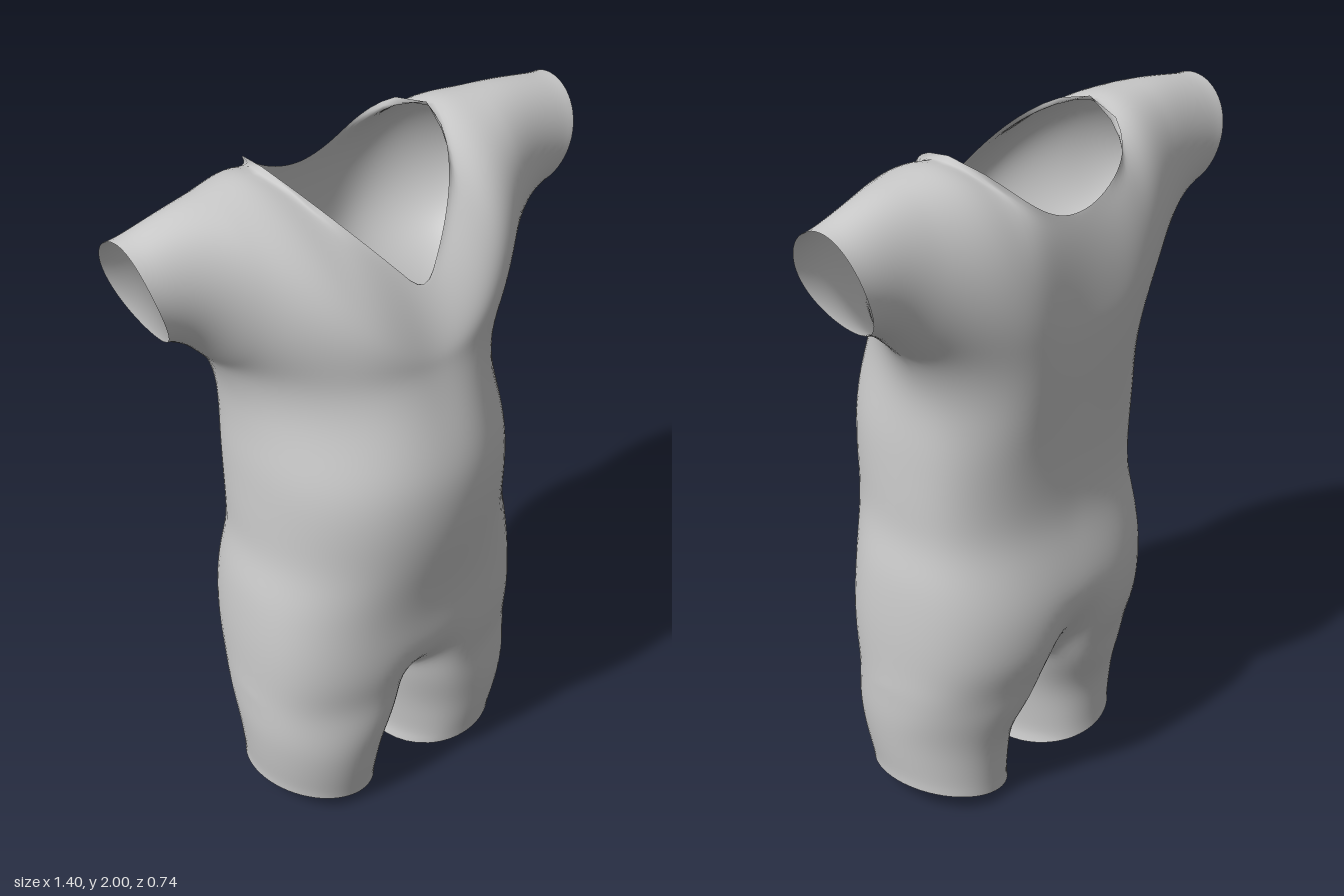
import * as THREE from 'three';
import { mergeGeometries, mergeVertices } from 'three/addons/utils/BufferGeometryUtils.js';

const { lerp, smoothstep, clamp } = THREE.MathUtils;
const ARMPIT = 0.44, NECK = 0.265, CHEST_Y = 1.5, CROTCH_Y = 0.42, ZC = -0.12;

// Smooth interpolation of column k in a table whose rows start with the key
function sample(table, key, k = 1) {
  const last = table.length - 1;
  let i = 0;
  while (i < last - 1 && key > table[i + 1][0]) i++;
  const slope = (j) => {
    const a = table[Math.max(j - 1, 0)], b = table[Math.min(j + 1, last)];
    return (b[k] - a[k]) / (b[0] - a[0]);
  };
  const p = table[i], q = table[i + 1], d = q[0] - p[0];
  const t = clamp((key - p[0]) / d, 0, 1), t2 = t * t, t3 = t2 * t;
  return (2 * t3 - 3 * t2 + 1) * p[k] + (t3 - 2 * t2 + t) * d * slope(i)
    + (3 * t2 - 2 * t3) * q[k] + (t3 - t2) * d * slope(i + 1);
}

// Height, half width, front z, back z
const TORSO = [
  [0.42, 0.437, 0.262, -0.3], [0.5, 0.438, 0.283, -0.342], [0.6, 0.438, 0.29, -0.358],
  [0.7, 0.433, 0.295, -0.358], [0.8, 0.423, 0.312, -0.335], [0.9, 0.402, 0.337, -0.307],
  [1.0, 0.402, 0.358, -0.302], [1.1, 0.4, 0.37, -0.308], [1.2, 0.398, 0.37, -0.317],
  [1.3, 0.393, 0.347, -0.327], [1.4, 0.402, 0.315, -0.338], [1.5, 0.44, 0.287, -0.347],
];
// Distance out along the shoulder, front z, back z
const SHOULDER = [
  [0, 0.287, -0.357], [0.1, 0.285, -0.362], [0.2, 0.262, -0.37], [0.3, 0.205, -0.347],
  [0.4, 0.115, -0.302], [0.5, 0.052, -0.267], [0.6, 0.018, -0.25], [0.7, 0.005, -0.245],
];
const TOP = [[0, 2], [0.27, 2], [0.4, 1.992], [0.5, 1.985], [0.6, 1.965], [0.7, 1.94]];
const UNDERARM = [[0.44, 1.5], [0.5, 1.537], [0.6, 1.595], [0.7, 1.635]];

const dome = (s, n) => Math.pow(Math.max(0, 1 - Math.pow(Math.abs(s), n)), 1 / n);

// Chest, shoulder and sleeve: an arc from chest line or underarm (t = 0) to shoulder or neckline (t = 1)
function upperPoint(u, t, front) {
  const top = sample(TOP, u);
  const s = Math.min(1, u / ARMPIT);
  const start = Math.pow(s, 1.5);
  const base = u > ARMPIT ? sample(UNDERARM, u) : CHEST_Y;
  const h = (top - base) / (1 + start), yc = top - h;
  let end = top;
  if (u < NECK) {
    const k = u / NECK;
    end = front ? 1.685 + 0.315 * k : 1.825 + 0.175 * k * k;
  }
  const a0 = -Math.asin(start), a1 = Math.asin(clamp((end - yc) / h, -1, 1));
  const v = Math.sin(lerp(a0, a1, t));
  const n = v < 0 ? 2 : front ? lerp(1.4, 2, s * s) : lerp(2.6, 2, s);
  const edge = sample(SHOULDER, u, front ? 1 : 2);
  const y = yc + h * v;
  // The sleeve opening slants inward toward the underarm
  const slant = Math.pow(clamp((u - ARMPIT) / (0.7 - ARMPIT), 0, 1), 1.5);
  const x = u - 0.1 * slant * Math.pow(Math.max(0, top - y) / 0.31, 1.6);
  return [x, y, ZC + (edge - ZC) * dome(v, n)];
}

// Plain rounded cross-section of the trunk
function trunkPoint(u, y, front) {
  const s = u / ARMPIT;
  const side = lerp(-0.01, -0.08, smoothstep(y, 0.5, 1.4));
  const n = front ? lerp(2.5, 2.05, smoothstep(y, 0.6, 1)) : 2.5;
  return [sample(TORSO, y) * s, y, side + (sample(TORSO, y, front ? 2 : 3) - side) * dome(s, n)];
}

// Waist and hips, flowing into the chest line
function torsoPoint(u, y, front) {
  const p = trunkPoint(u, y, front), q = trunkPoint(u, CHEST_Y, front), r = upperPoint(u, 0, front);
  // Groove at the groin and between the buttocks
  const groove = front ? 0.1 * (1 - smoothstep(y, 0.4, 0.56)) : 0.12 * (1 - smoothstep(y, 0.42, 0.68));
  const dz = (front ? -groove : groove) * Math.exp(-((p[0] / 0.065) ** 2));
  const w = smoothstep(y, 1.1, CHEST_Y);
  return [p[0] + w * (r[0] - q[0]), y, p[2] + dz + w * (r[2] - q[2])];
}

// Columns from the centre line to the armpit, then out along the sleeve
const bodyCols = [], sleeveCols = [];
for (let i = 0; i <= 14; i++) bodyCols.push((NECK * i) / 14);
for (let i = 1; i <= 12; i++) bodyCols.push(lerp(NECK, ARMPIT, Math.sin((i / 12) * Math.PI / 2)));
for (let i = 1; i <= 14; i++) sleeveCols.push(lerp(ARMPIT, 0.7, i / 14));
const allCols = [...bodyCols, ...sleeveCols];

// Leg stations: front columns, back columns, then the inner seam
const SEAM = 10;
const legStations = [
  ...bodyCols.map((u) => ({ u, front: true })),
  ...bodyCols.slice(0, -1).reverse().map((u) => ({ u, front: false })),
];
for (let i = 1; i <= SEAM; i++) legStations.push({ seam: i / SEAM });

function legPoint(st, t) {
  const down = 1 - t, open = Math.PI * 0.28;
  let from, xn, zn;
  if (st.seam === undefined) {
    from = torsoPoint(st.u, CROTCH_Y, st.front);
    xn = lerp(-Math.cos(open), 1, st.u / ARMPIT);
    zn = (st.front ? 1 : -1) * Math.sqrt(Math.max(0, 1 - xn * xn));
  } else {
    const f = torsoPoint(0, CROTCH_Y, true), b = torsoPoint(0, CROTCH_Y, false);
    from = [0, CROTCH_Y - 0.02 * Math.sin(st.seam * Math.PI), lerp(b[2], f[2], st.seam)];
    const a = lerp(-open, open, st.seam);
    xn = -Math.cos(a);
    zn = Math.sin(a);
  }
  const inner = 0.04 * Math.pow(down, 1.5), outer = lerp(0.437, 0.4, down * down);
  const zf = lerp(0.25, 0.195, down * down), zb = lerp(-0.25, -0.212, Math.sqrt(down));
  const w = smoothstep(down, 0, 0.6);
  const x = lerp(from[0], (inner + outer) / 2 + xn * (outer - inner) / 2, w);
  const z = lerp(from[2], (zf + zb) / 2 + zn * (zf - zb) / 2, w);
  const hem = 0.003 + 0.075 * (xn + 1) / 2;
  return [x, lerp(from[1], hem, down), z];
}

// Surface through a grid of points
function grid(nu, nv, point, flip) {
  const pos = [], idx = [];
  for (let j = 0; j <= nv; j++) for (let i = 0; i <= nu; i++) pos.push(...point(i, j / nv));
  for (let j = 0; j < nv; j++) for (let i = 0; i < nu; i++) {
    const a = j * (nu + 1) + i, b = a + 1, c = b + nu + 1, d = a + nu + 1;
    idx.push(...(flip ? [a, c, b, a, d, c] : [a, b, c, a, c, d]));
  }
  const g = new THREE.BufferGeometry();
  g.setAttribute('position', new THREE.Float32BufferAttribute(pos, 3));
  g.setIndex(idx);
  return g;
}

function mirrored(g) {
  const m = g.clone().scale(-1, 1, 1), ix = m.index.array;
  for (let i = 0; i < ix.length; i += 3) [ix[i], ix[i + 1]] = [ix[i + 1], ix[i]];
  return m;
}

// Relax the cloth toward its neighbours, keeping the hems fixed
function relax(g, rounds) {
  const p = g.attributes.position.array, ix = g.index.array, n = p.length / 3;
  const near = Array.from({ length: n }, () => new Map());
  const link = (a, b) => near[a].set(b, (near[a].get(b) || 0) + 1);
  for (let i = 0; i < ix.length; i++) {
    const a = ix[i], b = ix[i % 3 === 2 ? i - 2 : i + 1];
    link(a, b);
    link(b, a);
  }
  const free = near.map((m) => m.size > 0 && [...m.values()].every((c) => c > 1));
  for (let r = 0; r < rounds; r++) {
    const old = p.slice();
    for (let v = 0; v < n; v++) if (free[v]) for (let k = 0; k < 3; k++) {
      let sum = 0;
      for (const o of near[v].keys()) sum += old[o * 3 + k];
      p[v * 3 + k] = lerp(old[v * 3 + k], sum / near[v].size, 0.5);
    }
  }
}

export function createModel() {
  const parts = [];
  for (const front of [true, false]) {
    parts.push(grid(allCols.length - 1, 28, (i, t) => upperPoint(allCols[i], t, front), !front));
    parts.push(grid(bodyCols.length - 1, 50,
      (i, t) => torsoPoint(bodyCols[i], lerp(CROTCH_Y, CHEST_Y, t), front), !front));
  }
  parts.push(grid(legStations.length - 1, 20, (i, t) => legPoint(legStations[i], t), false));
  const half = mergeGeometries(parts);
  const body = mergeVertices(mergeGeometries([half, mirrored(half)]), 1e-4);
  relax(body, 14);
  // The waist and legs sit slightly off the centre line
  const p = body.attributes.position;
  for (let i = 0; i < p.count; i++) {
    p.setX(i, p.getX(i) - 0.02 * (1 - smoothstep(p.getY(i), 1.3, 1.8)));
  }
  body.computeVertexNormals();
  const mesh = new THREE.Mesh(body,
    new THREE.MeshStandardMaterial({ color: 0xcccccc, side: THREE.DoubleSide }));
  mesh.name = 'bodysuit';
  const group = new THREE.Group();
  group.name = 'shortSleevedBodysuit';
  group.add(mesh);
  return group;
}
